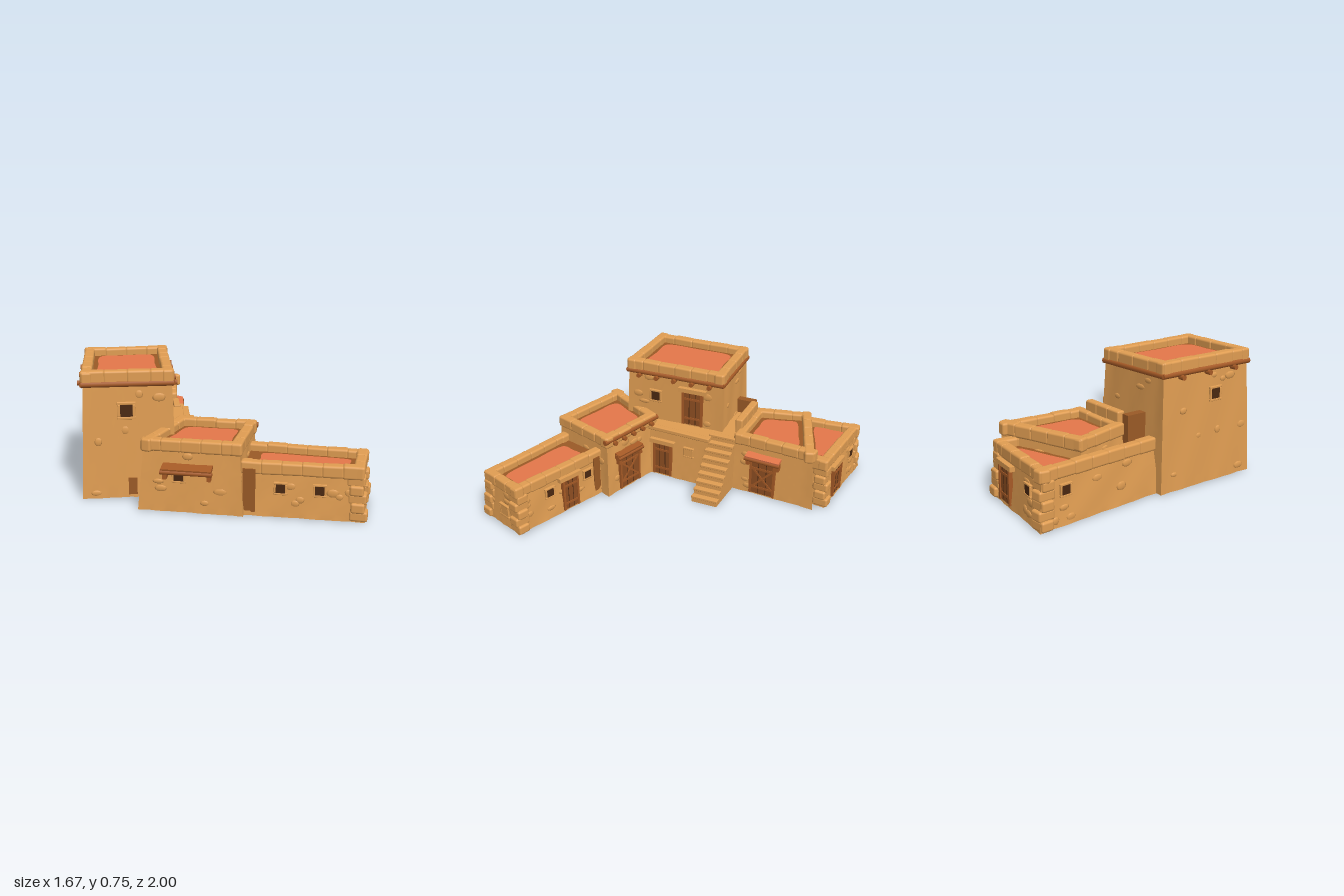
import * as THREE from 'three';
import { mergeGeometries } from 'three/addons/utils/BufferGeometryUtils.js';
import { RoundedBoxGeometry } from 'three/addons/geometries/RoundedBoxGeometry.js';

const mat = (name, color) => new THREE.MeshStandardMaterial({ name, color });

export function createModel() {
  const clay = mat('clay', 0xe09d52), roofRed = mat('roof red', 0xe4774a);
  const brown = mat('dry mud', 0x9a5a26), wood = mat('wood', 0xa65a26);
  const plank = mat('door planks', 0x8f4f22), dark = mat('dark opening', 0x4a2811);
  const model = new THREE.Group();
  model.name = 'mudBrickHouses';

  let seed = 7;
  const rnd = () => (seed = (seed * 16807) % 2147483647) / 2147483647;
  const V = (x, z) => new THREE.Vector2(x, z);

  function add(parent, name, geo, material, x = 0, y = 0, z = 0) {
    const m = new THREE.Mesh(geo, material);
    m.name = name;
    m.position.set(x, y, z);
    parent.add(m);
    return m;
  }
  const box = (p, name, w, h, d, material, x, y, z) =>
    add(p, name, new THREE.BoxGeometry(w, h, d), material, x, y, z);
  const stone = (p, name, w, h, d, x, y, z) =>
    add(p, name, new RoundedBoxGeometry(w, h, d, 2, Math.min(w, h, d) * 0.22), clay, x, y, z);

  // Outward normal of an outline edge (corners run front left, front right, back right, back left)
  function normal(c, i) {
    const d = c[(i + 1) % c.length].clone().sub(c[i]).normalize();
    return V(-d.y, d.x);
  }
  // Outline moved outward by t
  const offset = (c, t) => c.map((p, i) => {
    const a = normal(c, (i + c.length - 1) % c.length), b = normal(c, i);
    return a.clone().add(b).multiplyScalar(t / (1 + a.dot(b))).add(p);
  });

  // Sloping, slightly lumpy walls between a wide base outline and a narrower top
  function wallGeometry(c, h) {
    const low = offset(c, 0.014), top = offset(c, -0.012), sides = [];
    c.forEach((_, i) => {
      const j = (i + 1) % c.length, n = normal(c, i), g = new THREE.PlaneGeometry(1, 1, 18, 8);
      const pos = g.attributes.position;
      for (let k = 0; k < pos.count; k++) {
        const u = pos.getX(k) + 0.5, v = pos.getY(k) + 0.5;
        const p = low[i].clone().lerp(low[j], u).lerp(top[i].clone().lerp(top[j], u), v);
        const fade = Math.min(1, 10 * u * (1 - u));
        const dent = -0.004 * fade * (1 + Math.sin(u * 23 + i * 2 + v * 5) * Math.sin(v * 11 + u * 9));
        pos.setXYZ(k, p.x + n.x * dent, v * h, p.y + n.y * dent);
      }
      g.computeVertexNormals();
      sides.push(g);
    });
    return mergeGeometries(sides);
  }
  // Flat plate from an outline, facing up or down
  const flat = (pts, up = true) => up
    ? new THREE.ShapeGeometry(new THREE.Shape(pts.map(p => V(p.x, -p.y)))).rotateX(-Math.PI / 2)
    : new THREE.ShapeGeometry(new THREE.Shape(pts)).rotateX(Math.PI / 2);
  // Outline with soft, worn corners
  function worn(c) {
    const pts = [];
    c.forEach((p, i) => {
      const n = c[(i + 1) % c.length];
      for (const t of [0.09, 0.5, 0.91]) {
        const q = p.clone().lerp(n, t + (rnd() - 0.5) * 0.04);
        pts.push(new THREE.Vector3(q.x, 0, q.y));
      }
    });
    return new THREE.CatmullRomCurve3(pts, true).getPoints(48).slice(0, -1).map(p => V(p.x, p.z));
  }

  // Group standing on a wall, local +z pointing outward
  function onWall(b, i, u, y, name) {
    const g = new THREE.Group(), n = normal(b.c, i);
    const out = THREE.MathUtils.lerp(0.014, -0.012, y / b.h);
    const p = b.c[i].clone().lerp(b.c[(i + 1) % b.c.length], u).addScaledVector(n, out);
    g.name = name;
    g.position.set(p.x, y, p.y);
    g.rotation.y = Math.atan2(n.x, n.y);
    b.group.add(g);
    return g;
  }

  function building(name, h, c, { parapet = [0, 1, 2, 3], patch, stones = 6 } = {}) {
    const group = new THREE.Group(), b = { group, c, h };
    group.name = name;
    model.add(group);
    add(group, 'walls', wallGeometry(c, h - 0.03), clay);
    add(group, 'underside', flat(offset(c, 0.014), false), clay);
    if (!parapet.length) {
      add(group, 'terraceTop', flat(c), clay, 0, h - 0.02);
      return b;
    }
    add(group, 'roofEdge', flat(offset(c, -0.015)), brown, 0, h - 0.045);
    add(group, 'roof', flat(worn(patch || offset(c, -0.09))), roofRed, 0, h - 0.04);
    // Worn clay blocks along the roof rim
    for (const i of parapet) {
      const len = c[i].distanceTo(c[(i + 1) % 4]), count = Math.max(3, Math.round(len / 0.12));
      for (let k = 0; k < count; k++) {
        const g = onWall(b, i, (k + 0.5) / count, h - 0.037, 'parapetBlock');
        const s = stone(g, 'block', len / count + 0.008, 0.068 + rnd() * 0.01, 0.058 + rnd() * 0.006, 0, 0, -0.021);
        s.rotation.set(0, (rnd() - 0.5) * 0.04, (rnd() - 0.5) * 0.04);
      }
      const p = offset(c, -0.034)[i], n = normal(c, i);
      stone(group, 'parapetCorner', 0.064, 0.075, 0.064, p.x, h - 0.037, p.y).rotation.y = Math.atan2(n.x, n.y);
    }
    // Stones showing faintly through the plaster
    for (let i = 0; i < 4; i++) for (let k = 0; k < stones; k++) {
      const g = onWall(b, i, 0.06 + rnd() * 0.88, 0.03 + rnd() * (h - 0.12), 'wallStone');
      const s = add(g, 'stone', new THREE.SphereGeometry(1, 8, 6), clay, 0, 0, -0.005);
      s.scale.set(0.022 + rnd() * 0.02, 0.014 + rnd() * 0.012, 0.006);
    }
    return b;
  }
  // Stacked stones at a corner
  function cornerStones(b, i) {
    const low = offset(b.c, -0.022)[i], top = offset(b.c, -0.046)[i], n = normal(b.c, i);
    const rows = Math.round(b.h / 0.06);
    for (let k = 0; k < rows; k++) {
      const p = low.clone().lerp(top, k / rows), long = k % 2;
      stone(b.group, 'cornerStone', long ? 0.1 : 0.076, 0.058, long ? 0.076 : 0.1, p.x, 0.032 + k * (b.h - 0.07) / rows, p.y)
        .rotation.y = Math.atan2(n.x, n.y);
    }
  }

  function windowAt(b, i, u, y, s = 0.05, fill = dark) {
    const g = onWall(b, i, u, y, 'window'), f = s * 0.22;
    box(g, 'opening', s, s, 0.008, fill, 0, 0, 0.003);
    for (const k of [-1, 1]) {
      stone(g, 'windowSide', f, s, 0.016, k * (s + f) / 2, 0, 0);
      stone(g, 'windowLedge', s + 2.4 * f, f, 0.018, 0, k * (s + f) / 2, 0);
    }
  }
  function awning(b, i, u, y, w, d, top = wood) {
    const g = onWall(b, i, u, y, 'awning');
    box(g, 'awningBoard', w, 0.018, d, top, 0, 0.014, d / 2 - 0.015).rotation.x = 0.2;
    add(g, 'awningLog', new THREE.CylinderGeometry(0.014, 0.014, w + 0.01, 8).rotateZ(Math.PI / 2), wood, 0, -0.004, d - 0.024);
    for (const k of [-1, 1]) box(g, 'awningBracket', 0.022, 0.05, d * 0.6, wood, k * w * 0.44, -0.025, d * 0.25);
  }
  function doorAt(b, i, u, y, w, h, lintel = clay) {
    const g = onWall(b, i, u, y + h / 2, 'door');
    box(g, 'doorPanel', w, h, 0.008, plank, 0, 0, 0.004);
    for (const k of [-1, 1]) {
      box(g, 'doorPost', 0.014, h, 0.024, wood, k * w / 2, 0, 0.004);
      box(g, 'plankGap', 0.004, h, 0.004, dark, k * w / 6, 0, 0.007);
      box(g, 'doorRail', w, 0.014, 0.008, wood, 0, k * h * 0.3, 0.008);
      if (lintel === wood)
        box(g, 'doorBrace', 0.012, Math.hypot(w * 0.85, h * 0.6), 0.007, wood, 0, 0, 0.008).rotation.z = k * Math.atan2(w * 0.85, h * 0.6);
    }
    box(g, 'doorLintel', w + 0.06, 0.028, 0.03, lintel, 0, h / 2 + 0.014, 0.004);
  }
  function beam(b, i, y, pegs, extra = 0) {
    const len = b.c[i].distanceTo(b.c[(i + 1) % 4]) + extra;
    const g = onWall(b, i, 0.5, y, 'roofBeam');
    add(g, 'log', new THREE.CylinderGeometry(0.017, 0.017, len, 8).rotateZ(Math.PI / 2), wood, 0, 0, 0.002);
    for (let k = 0; k < pegs; k++)
      add(g, 'beamEnd', new THREE.CylinderGeometry(0.015, 0.015, 0.07, 8).rotateX(Math.PI / 2), wood,
        ((k + 0.5) / pegs - 0.5) * (len - 0.06), -0.02, 0);
  }
  // Bare mud where the plaster has fallen off
  const barePatch = (b, i, u, y, w, h) =>
    box(onWall(b, i, u, y, 'barePatch'), 'patch', w, h, 0.008, brown, 0, 0, 0.002);

  // Two storey tower
  const tower = building('tower', 0.75, [V(-0.8, 0.48), V(-0.28, 0.48), V(-0.29, -0.2), V(-0.8, -0.18)], { stones: 9 });
  [0, 5, 0, 3].forEach((pegs, i) => beam(tower, i, 0.675, pegs));
  windowAt(tower, 0, 0.48, 0.52, 0.07);
  windowAt(tower, 1, 0.3, 0.52, 0.06);
  windowAt(tower, 3, 0.6, 0.52, 0.06);
  doorAt(tower, 1, 0.69, 0.36, 0.13, 0.23);
  barePatch(tower, 0, 0.53, 0.07, 0.05, 0.1);

  // Ground floor terrace and landing beside the tower
  const terrace = building('terrace', 0.37, [V(-0.32, 0.32), V(-0.18, 0.32), V(-0.16, -0.16), V(-0.32, -0.16)], { parapet: [] });
  stone(onWall(terrace, 1, 0.5, 0.338, 'terraceRim'), 'rim', 0.48, 0.028, 0.04, 0, 0, -0.004);
  doorAt(terrace, 1, 0.31, 0.01, 0.12, 0.23);
  windowAt(terrace, 1, 0.7, 0.215, 0.05, clay);
  building('landing', 0.37, [V(-0.62, -0.15), V(-0.25, -0.15), V(-0.25, -0.32), V(-0.62, -0.32)], { parapet: [] });
  box(model, 'landingEndWall', 0.05, 0.44, 0.13, brown, -0.63, 0.225, -0.24);

  // Stairs rising to the landing
  const stairs = new THREE.Group();
  stairs.name = 'stairs';
  model.add(stairs);
  for (let k = 0; k < 9; k++) {
    const h = 0.04 * (k + 1), x = 0.036 - k * 0.033;
    box(stairs, 'step', 0.036, h, 0.17, clay, x, h / 2, -0.222 - k * 0.001);
    stone(stairs, 'stepTread', 0.04, 0.018, 0.178, x + 0.001, h - 0.006, -0.222 - k * 0.001);
  }

  // Low back house with the taller back house over it
  const lowBack = building('lowBackHouse', 0.325, [V(-0.76, -0.19), V(-0.3, -0.3), V(-0.24, -0.92), V(-0.815, -0.985)],
    { parapet: [1, 2, 3], patch: [V(-0.74, -0.69), V(-0.36, -0.82), V(-0.38, -0.87), V(-0.73, -0.93)] });
  doorAt(lowBack, 2, 0.3, 0.02, 0.12, 0.2);
  windowAt(lowBack, 2, 0.75, 0.18);
  windowAt(lowBack, 3, 0.2, 0.19);
  [2, 3].forEach(i => cornerStones(lowBack, i));
  const back = building('backHouse', 0.4, [V(-0.63, -0.31), V(-0.22, -0.31), V(-0.185, -0.85), V(-0.72, -0.67)]);
  doorAt(back, 1, 0.39, 0.01, 0.16, 0.23, wood);
  awning(back, 1, 0.39, 0.265, 0.23, 0.06, roofRed);
  for (let k = 0; k < 3; k++)
    stone(model, 'raisedWallBlock', 0.105, 0.1, 0.05, -0.55 + k * 0.1, 0.41, -0.31);

  // Middle front house
  const mid = building('middleHouse', 0.415, [V(-0.48, 0.665), V(0.06, 0.82), V(0.21, 0.38), V(-0.24, 0.25)]);
  windowAt(mid, 0, 0.38, 0.21, 0.055);
  awning(mid, 0, 0.47, 0.25, 0.28, 0.075);
  doorAt(mid, 2, 0.4, 0.01, 0.17, 0.23, wood);
  awning(mid, 2, 0.4, 0.25, 0.22, 0.05);
  beam(mid, 2, 0.385, 5, 0.02);

  // Long low wing
  const wing = building('wing', 0.31, [V(0.06, 0.795), V(0.7, 0.97), V(0.81, 0.665), V(0.16, 0.44)], { parapet: [0, 1, 2], stones: 8 });
  windowAt(wing, 0, 0.33, 0.165);
  windowAt(wing, 0, 0.65, 0.165);
  windowAt(wing, 1, 0.6, 0.11, 0.06, clay);
  windowAt(wing, 2, 0.36, 0.18);
  windowAt(wing, 2, 0.8, 0.18);
  doorAt(wing, 2, 0.58, 0.01, 0.11, 0.21);
  [1, 2].forEach(i => cornerStones(wing, i));
  barePatch(wing, 0, 0.07, 0.145, 0.07, 0.25);
  barePatch(wing, 2, 0.91, 0.145, 0.05, 0.25);

  return model;
}
